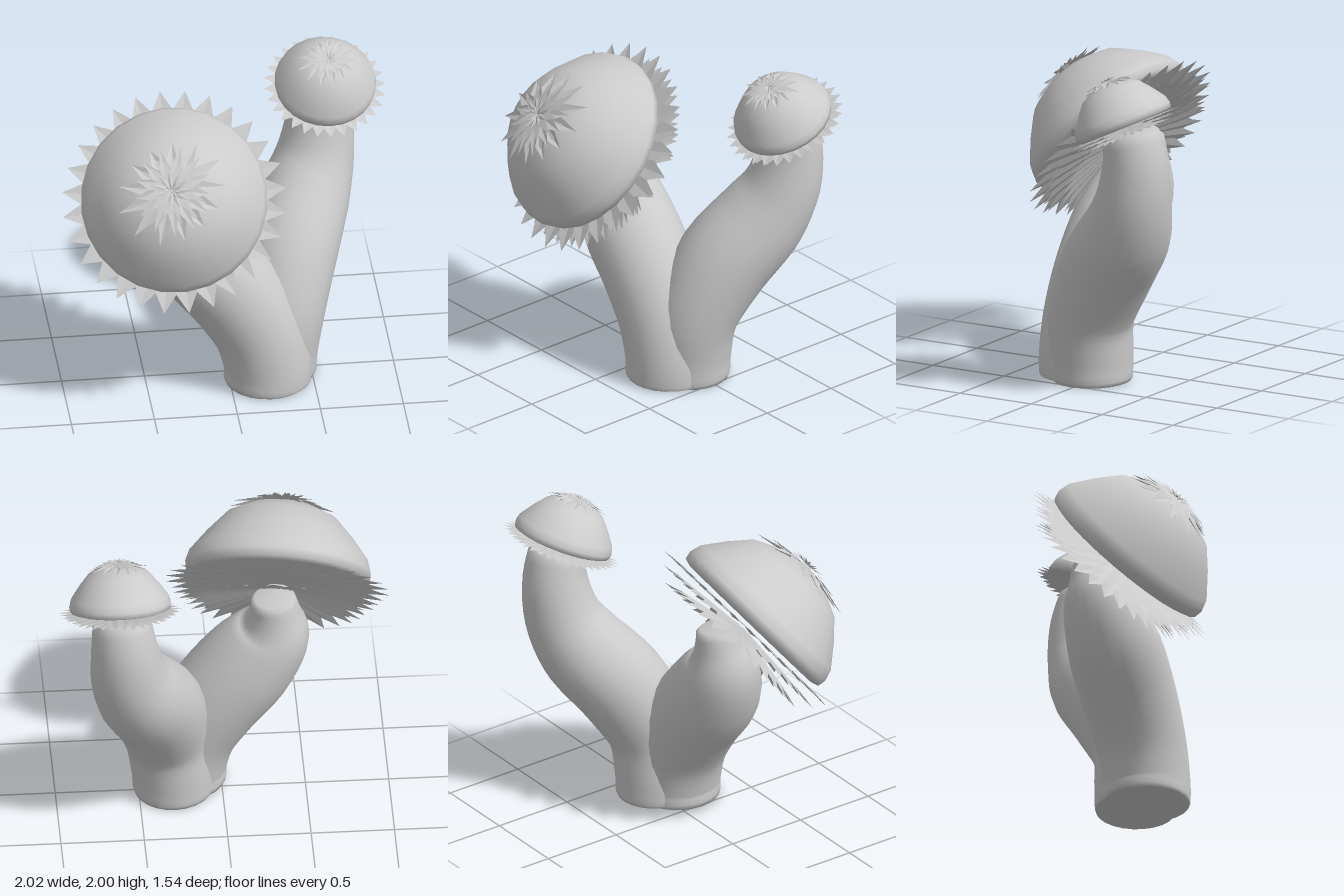
import * as THREE from 'three';

const smooth = new THREE.MeshStandardMaterial({ color: 0xcccccc, side: THREE.DoubleSide });
const faceted = new THREE.MeshStandardMaterial({ color: 0xcccccc, side: THREE.DoubleSide, flatShading: true });

function mesh(name, geometry, material) {
  const m = new THREE.Mesh(geometry, material);
  m.name = name;
  return m;
}

function indexed(positions, index) {
  const g = new THREE.BufferGeometry();
  g.setAttribute('position', new THREE.Float32BufferAttribute(positions, 3));
  g.setIndex(index);
  g.computeVertexNormals();
  return g;
}

// Curved stalk of varying thickness; each key is [x, y, z, radius]
function stalk(name, keys, sides = 24, steps = 28) {
  const path = new THREE.CatmullRomCurve3(keys.map(k => new THREE.Vector3(k[0], k[1], k[2])), false, 'catmullrom');
  const girth = new THREE.CatmullRomCurve3(keys.map((k, i) => new THREE.Vector3(k[3], i, 0)), false, 'catmullrom');
  const pos = [], index = [];
  const zAxis = new THREE.Vector3(0, 0, 1);
  const ring = (t, scale) => {
    const p = path.getPoint(t), r = girth.getPoint(t).x * scale;
    const T = path.getTangent(t);
    const N = T.clone().cross(zAxis).normalize();
    const M = N.clone().cross(T);
    for (let j = 0; j < sides; j++) {
      const a = (j / sides) * Math.PI * 2;
      const v = p.clone().addScaledVector(N, r * Math.cos(a)).addScaledVector(M, r * Math.sin(a));
      pos.push(v.x, v.y, v.z);
    }
  };
  // closed bottom, body, closed top
  ring(0, 0);
  ring(0, 0.97);
  for (let i = 0; i <= steps; i++) ring(0.02 + 0.96 * i / steps, 1);
  ring(1, 0.85);
  ring(1, 0);
  const rings = pos.length / 3 / sides;
  for (let i = 0; i < rings - 1; i++) {
    for (let j = 0; j < sides; j++) {
      const a = i * sides + j, b = i * sides + (j + 1) % sides;
      index.push(a, b, a + sides, b, b + sides, a + sides);
    }
  }
  return mesh(name, indexed(pos, index), smooth);
}

// Folded star: a fan around the centre with alternating tips and valleys
function star(name, { count, hub, valley, tip, phase = 0, jitter = 0 }) {
  const pos = [0, hub, 0], index = [];
  const n = count * 2;
  for (let i = 0; i < n; i++) {
    const isTip = i % 2 === 0;
    const a = ((i + phase) / n) * Math.PI * 2;
    const vary = isTip ? 1 + jitter * Math.sin(i * 2.7 + phase * 5) : 1;
    const [r, y] = isTip ? tip : valley;
    pos.push(Math.cos(a) * r * vary, y, Math.sin(a) * r * vary);
    index.push(0, 1 + (i + 1) % n, 1 + i);
  }
  return mesh(name, indexed(pos, index), faceted);
}

// Cap with a spiny skirt below the rim and a spiny crown on top
function head(name, { centre, axis, size, height, skirtDepth }) {
  const g = new THREE.Group();
  g.name = name;
  const profile = [[0, -0.01], [0.5, -0.015], [0.55, 0], [0.56, 0.05], [0.54, 0.12],
    [0.44, 0.25], [0.335, 0.365], [0.2, 0.43], [0.09, 0.45], [0, 0.455]];
  g.add(mesh('cap', new THREE.LatheGeometry(profile.map(p => new THREE.Vector2(...p)), 24), smooth));

  const skirt = [
    { valley: [0.56, -0.043], tip: [0.675, -0.055], hub: -0.04 },
    { valley: [0.51, -0.1], tip: [0.62, -0.12], hub: -0.06 },
    { valley: [0.43, -0.155], tip: [0.54, -0.19], hub: -0.08 },
  ];
  for (const s of skirt) {
    const layer = star('skirtSpines', { ...s, count: 28 });
    layer.scale.y = skirtDepth;
    g.add(layer);
  }

  const crown = [
    { valley: [0.18, 0.45], tip: [0.32, 0.405], hub: 0.465, count: 13 },
    { valley: [0.14, 0.465], tip: [0.25, 0.445], hub: 0.47, count: 13 },
    { valley: [0.1, 0.475], tip: [0.18, 0.475], hub: 0.475, count: 12 },
    { valley: [0.06, 0.48], tip: [0.12, 0.495], hub: 0.478, count: 11 },
    { valley: [0.03, 0.485], tip: [0.065, 0.505], hub: 0.48, count: 9 },
  ];
  crown.forEach((c, i) => g.add(star('crownSpines', { ...c, phase: i * 0.8, jitter: 0.1 })));

  g.scale.set(size, height, size);
  g.position.set(...centre);
  g.quaternion.setFromUnitVectors(new THREE.Vector3(0, 1, 0), new THREE.Vector3(...axis).normalize());
  return g;
}

export function createModel() {
  const model = new THREE.Group();
  model.name = 'twinCapPlant';

  // Front stalk leaning right, with the large head
  model.add(stalk('largeStalk', [
    [0.225, 0, 0.115, 0.262], [0.225, 0.13, 0.115, 0.264], [0.165, 0.36, 0.11, 0.272], [0.025, 0.61, 0.1, 0.287],
    [-0.17, 0.86, 0.095, 0.285], [-0.305, 1.08, 0.065, 0.23], [-0.32, 1.25, 0.04, 0.16], [-0.305, 1.38, 0.03, 0.13],
  ]));
  model.add(head('largeHead', {
    centre: [-0.35, 1.36, 0.25], axis: [-0.12, 0.63, 0.77], size: 1, height: 1, skirtDepth: 1,
  }));

  // Rear stalk leaning left and back, with the small head
  model.add(stalk('smallStalk', [
    [0.29, 0, 0.01, 0.245], [0.295, 0.16, 0.01, 0.25], [0.33, 0.42, -0.01, 0.262], [0.4, 0.73, -0.165, 0.287],
    [0.505, 0.98, -0.355, 0.275], [0.585, 1.2, -0.46, 0.235], [0.62, 1.45, -0.5, 0.2], [0.635, 1.67, -0.47, 0.17],
  ]));
  model.add(head('smallHead', {
    centre: [0.64, 1.69, -0.435], axis: [0.02, 0.9, 0.43], size: 0.545, height: 0.6, skirtDepth: 0.6,
  }));

  return model;
}
